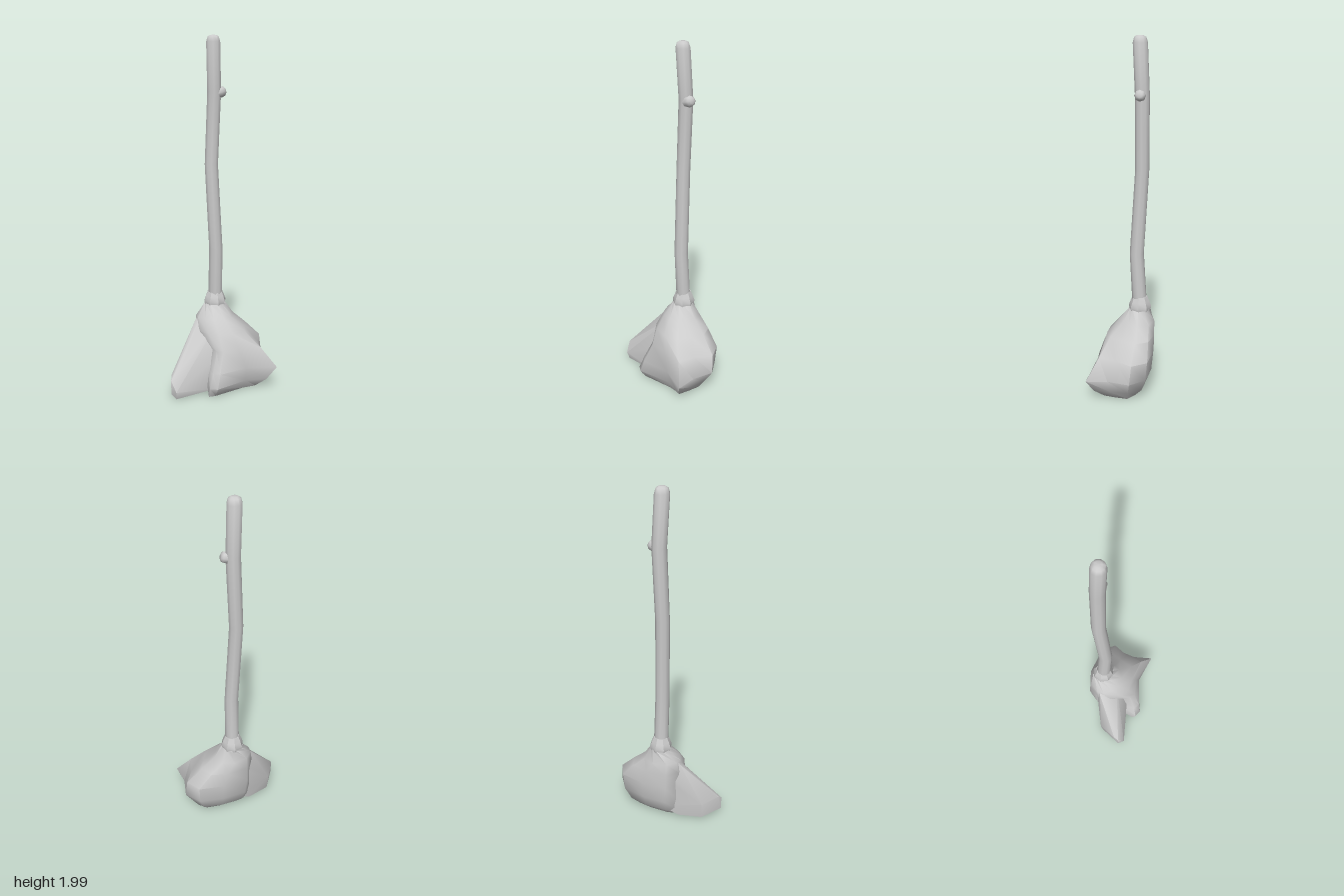
import * as THREE from 'three';
import { mergeVertices, toCreasedNormals } from 'three/addons/utils/BufferGeometryUtils.js';
import { ConvexGeometry } from 'three/addons/geometries/ConvexGeometry.js';

const material = new THREE.MeshStandardMaterial({ color: 0xcccccc });

// Horizontal ring of n points, running from +x towards +z
function circle(x, y, z, r, n) {
  return Array.from({ length: n }, (_, i) => {
    const a = (i / n) * Math.PI * 2;
    return [x + r * Math.cos(a), y, z + r * Math.sin(a)];
  });
}

// Skin over rings listed from top to bottom, closed by a fan at each end
function loft(rings) {
  const n = rings[0].length, last = rings.length - 1, index = [];
  const points = rings.flat();
  const centre = ring => [0, 1, 2].map(k => ring.reduce((s, p) => s + p[k], 0) / n);
  const top = points.push(centre(rings[0])) - 1;
  const bottom = points.push(centre(rings[last])) - 1;
  for (let i = 0; i < n; i++) {
    const j = (i + 1) % n;
    for (let k = 0; k < last; k++) {
      const a = k * n + i, b = k * n + j;
      index.push(a, b, a + n, b, b + n, a + n);
    }
    index.push(top, j, i, bottom, last * n + i, last * n + j);
  }
  const g = new THREE.BufferGeometry();
  g.setAttribute('position', new THREE.Float32BufferAttribute(points.flat(), 3));
  g.setIndex(index);
  return g;
}

export function createModel() {
  const group = new THREE.Group();
  const add = (name, geometry, crease) => {
    const mesh = new THREE.Mesh(toCreasedNormals(geometry, crease), material);
    mesh.name = name;
    group.add(mesh);
    return mesh;
  };

  // Crooked stick with a rounded top: x, y, z, radius
  add('handle', loft([
    [0, 2, -0.08, 0.018], [0, 1.992, -0.08, 0.032], [0, 1.965, -0.081, 0.04],
    [0.01, 1.7, -0.095, 0.04], [-0.007, 1.3, -0.095, 0.039],
    [0.011, 0.82, -0.07, 0.04], [0.012, 0.48, -0.09, 0.042],
  ].map(p => circle(...p, 10))), 1.1);

  // Cut-off twig on the handle
  const twig = add('twigStump', loft([
    [0, 0.036, 0, 0.016], [0, 0.028, 0, 0.027], [0, 0.008, 0, 0.031], [0, -0.035, 0, 0.03],
  ].map(p => circle(...p, 8))), 1.1);
  twig.position.set(0.037, 1.695, -0.088);
  twig.rotation.z = -1.3;

  // Flared binding between handle and bristles
  add('collar', loft([
    [0.012, 0.565, -0.09, 0.042], [0.012, 0.535, -0.09, 0.054],
    [0.012, 0.505, -0.09, 0.065], [0.012, 0.48, -0.09, 0.06],
  ].map(p => circle(...p, 8))), 0.7);

  // Main bristle bundle: each ring is a height and its x, z outline
  const outlines = [
    [0.42, [[0.12, -0.09], [0.10, -0.04], [0.08, 0.0], [0.03, 0.03], [-0.03, 0.02], [-0.07, -0.01],
      [-0.10, -0.06], [-0.10, -0.1], [-0.06, -0.15], [0.02, -0.175], [0.09, -0.15]]],
    [0.35, [[0.20, -0.09], [0.17, -0.02], [0.14, 0.06], [0.06, 0.09], [-0.02, 0.085], [-0.07, 0.05],
      [-0.11, -0.02], [-0.11, -0.09], [-0.06, -0.16], [0.06, -0.18], [0.16, -0.16]]],
    [0.26, [[0.29, -0.085], [0.24, 0.01], [0.22, 0.11], [0.09, 0.11], [-0.01, 0.125], [-0.04, 0.1],
      [-0.06, 0.03], [-0.10, -0.09], [-0.06, -0.165], [0.09, -0.18], [0.235, -0.165]]],
    [0.15, [[0.30, -0.075], [0.28, 0.05], [0.30, 0.168], [0.13, 0.125], [-0.04, 0.165], [-0.075, 0.14],
      [-0.08, 0.06], [-0.10, -0.09], [-0.05, -0.155], [0.09, -0.17], [0.23, -0.155]]],
    [0.07, [[0.25, -0.06], [0.25, 0.04], [0.25, 0.135], [0.13, 0.115], [-0.06, 0.18], [-0.10, 0.16],
      [-0.09, 0.07], [-0.09, -0.085], [-0.04, -0.125], [0.09, -0.14], [0.20, -0.13]]],
    [0.015, [[0.215, -0.05], [0.21, 0.02], [0.20, 0.085], [0.12, 0.09], [-0.06, 0.14], [-0.10, 0.14],
      [-0.08, 0.06], [-0.08, -0.06], [-0.02, -0.08], [0.09, -0.09], [0.17, -0.085]]],
  ];
  const rings = outlines.map(([y, outline]) => outline.map(([x, z]) => [x, y, z]));
  add('bristles', loft([circle(0.012, 0.49, -0.09, 0.06, 11), ...rings]), 1.0);

  // Side tuft swept out from the bundle
  const tuft = new ConvexGeometry([
    [-0.05, 0.47, -0.09], [-0.11, 0.4, -0.08], [-0.135, 0.35, -0.05], [-0.22, 0.225, -0.01],
    [-0.295, 0.14, 0.06], [-0.24, 0.13, -0.045], [-0.305, 0.12, 0.09], [-0.305, 0.04, 0.09],
    [-0.28, 0.015, 0.11], [-0.285, 0.06, 0.125], [-0.235, 0.03, -0.035], [-0.1, 0.03, -0.085],
    [-0.1, 0.25, -0.1], [-0.18, 0.1, 0.1], [-0.09, 0.12, 0.09], [-0.03, 0.22, 0.08],
    [-0.03, 0.03, 0.08], [0, 0.4, 0], [0, 0.4, -0.14], [0, 0.1, -0.13],
  ].map(p => new THREE.Vector3(...p)));
  tuft.deleteAttribute('normal');
  add('sideTuft', mergeVertices(tuft), 0.8);

  return group;
}
